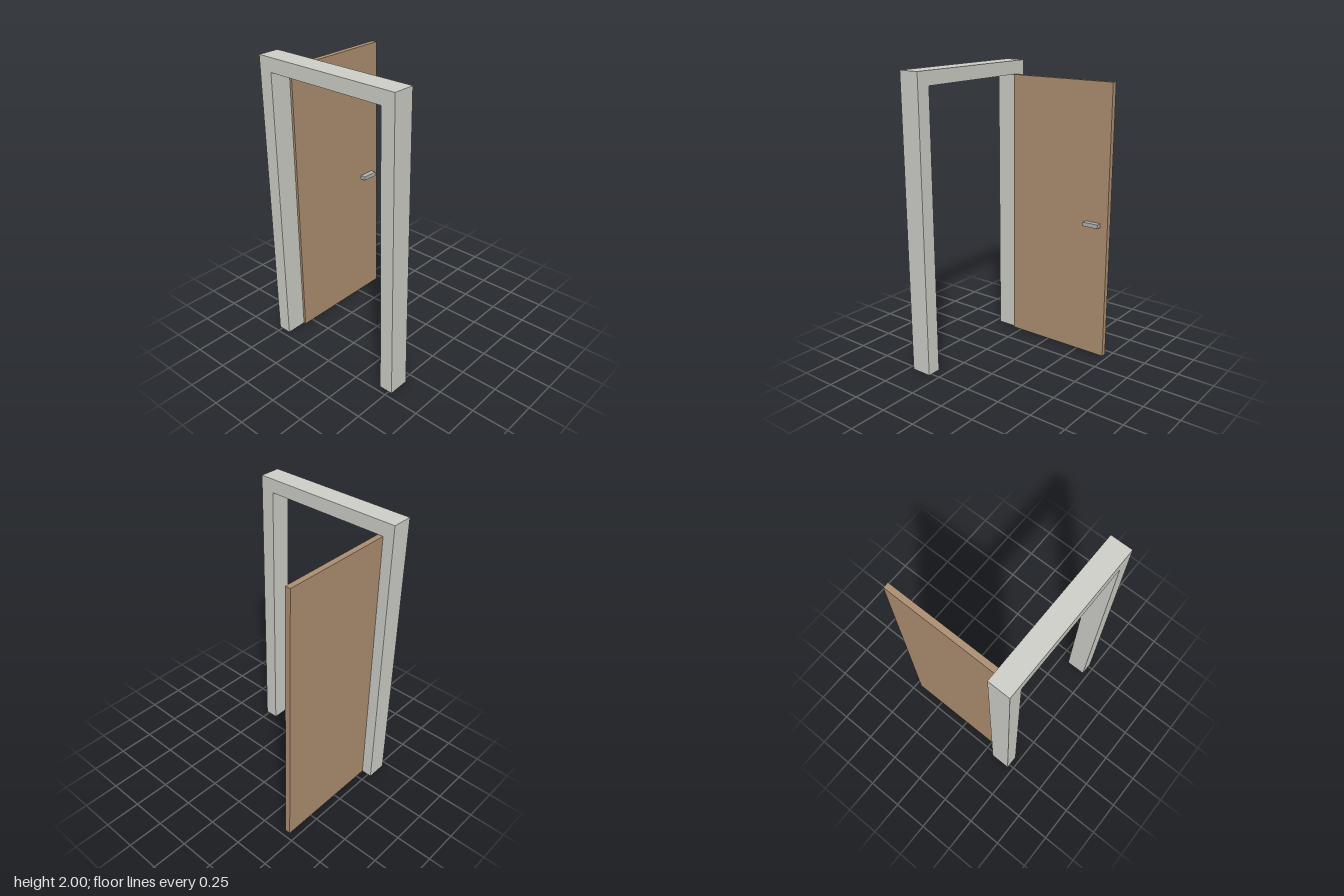
import * as THREE from 'three';

const material = (color) => new THREE.MeshStandardMaterial({ color });

// Box given by its [min, max] extents on each axis
function block(name, [x0, x1], [y0, y1], [z0, z1], color) {
  const mesh = new THREE.Mesh(new THREE.BoxGeometry(x1 - x0, y1 - y0, z1 - z0), material(color));
  mesh.position.set((x0 + x1) / 2, (y0 + y1) / 2, (z0 + z1) / 2);
  mesh.name = name;
  return mesh;
}

export function createModel() {
  const group = new THREE.Group();
  group.name = 'openDoor';

  const outer = 0.523, inner = 0.428, height = 2, opening = 1.908;
  const front = 0.463, back = 0.319;

  // Door frame: one upside-down U, extruded through the wall depth
  const outline = new THREE.Shape([
    [-outer, 0], [-inner, 0], [-inner, opening], [inner, opening],
    [inner, 0], [outer, 0], [outer, height], [-outer, height],
  ].map(([x, y]) => new THREE.Vector2(x, y)));
  const frame = new THREE.Mesh(
    new THREE.ExtrudeGeometry(outline, { depth: front - back, bevelEnabled: false }),
    material(0xcfd0c9),
  );
  frame.position.z = back;
  frame.name = 'frame';
  group.add(frame);

  // Door leaf, swung open a quarter turn behind the frame
  group.add(block('doorLeaf', [-0.449, -0.411], [0, opening], [-front, back], 0xae8f72));

  // Handle bar on the inner face, near the free edge
  group.add(block('handle', [-0.411, -0.373], [0.941, 0.969], [-0.408, -0.294], 0xb3b3b3));

  return group;
}
